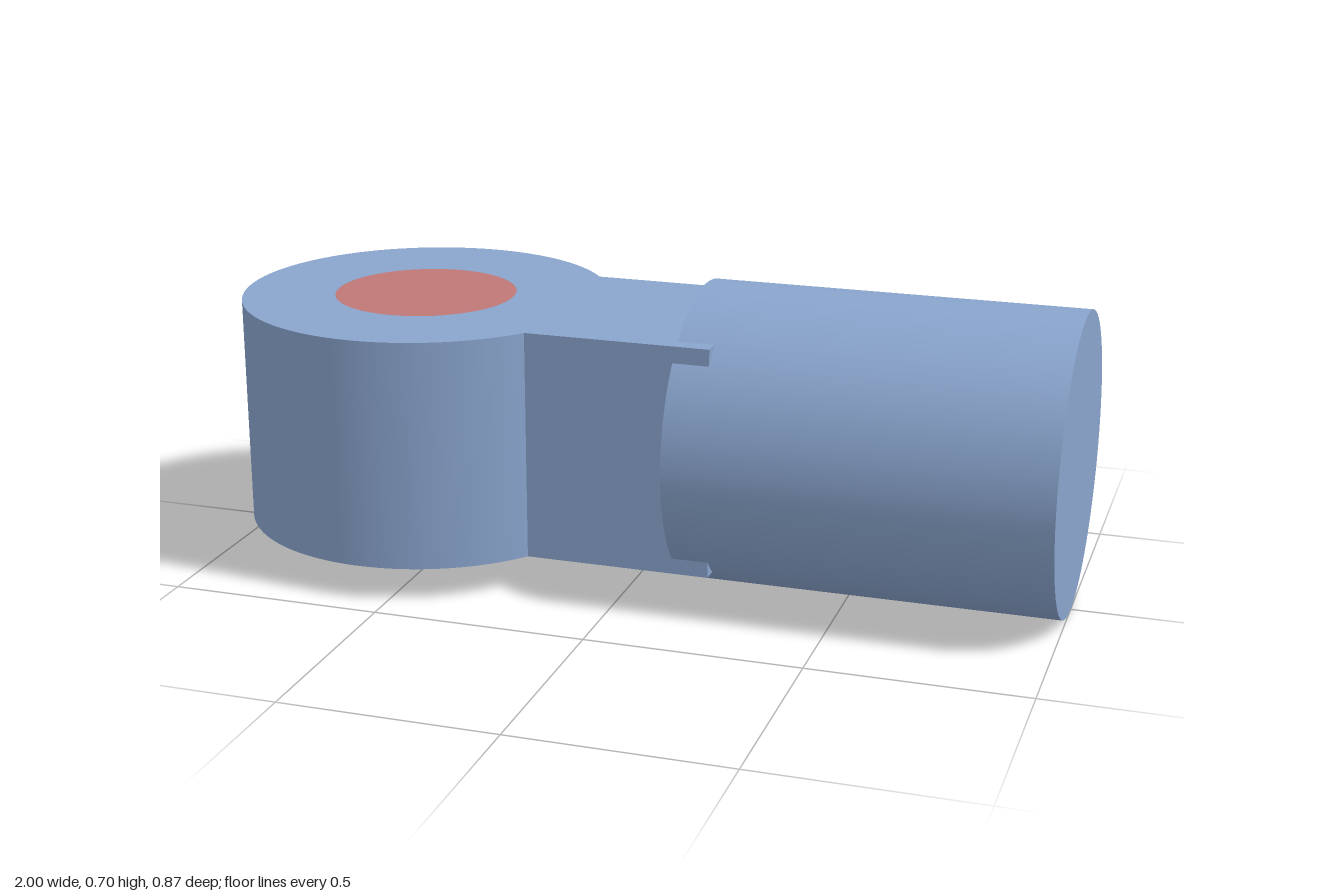
import * as THREE from 'three';
import { toCreasedNormals } from 'three/addons/utils/BufferGeometryUtils.js';

export function createModel() {
  const model = new THREE.Group();
  model.name = 'rodEnd';

  const steelBlue = new THREE.MeshStandardMaterial({ name: 'steelBlue', color: 0x89a4cd });
  const dustyRed = new THREE.MeshStandardMaterial({ name: 'dustyRed', color: 0xc07777 });

  const axisY = 0.348;
  const headX = -0.566, headR = 0.434, pinR = 0.215;
  const neckHalf = 0.26, neckEnd = 0.215;
  const bottom = 0.08, height = 0.538;

  function add(name, geometry, material, x, y) {
    const mesh = new THREE.Mesh(geometry, material);
    mesh.name = name;
    mesh.position.set(x, y, 0);
    model.add(mesh);
  }

  // Round head and straight neck in one keyhole outline, bored for the pin
  const a = Math.asin(neckHalf / headR);
  const outline = new THREE.Shape();
  outline.moveTo(neckEnd, -neckHalf);
  outline.lineTo(neckEnd, neckHalf);
  outline.absarc(headX, 0, headR, a, Math.PI * 2 - a, false);
  outline.closePath();
  const bore = new THREE.Path();
  bore.absarc(headX, 0, pinR, 0, Math.PI * 2, true);
  outline.holes.push(bore);
  const head = new THREE.ExtrudeGeometry(outline, { depth: height, bevelEnabled: false, curveSegments: 96 });
  head.rotateX(-Math.PI / 2);
  add('headAndNeck', toCreasedNormals(head, 0.5), steelBlue, 0, bottom);

  // Pin, flush with both faces of the head
  add('pin', new THREE.CylinderGeometry(pinR, pinR, height, 96), dustyRed, headX, bottom + height / 2);

  // Solid shank; the neck's four corners stand out past its round side
  const shankStart = 0.13, shankEnd = 1;
  const shank = new THREE.CylinderGeometry(axisY, axisY, shankEnd - shankStart, 96);
  shank.rotateZ(-Math.PI / 2);
  add('shank', shank, steelBlue, (shankStart + shankEnd) / 2, axisY);

  return model;
}
